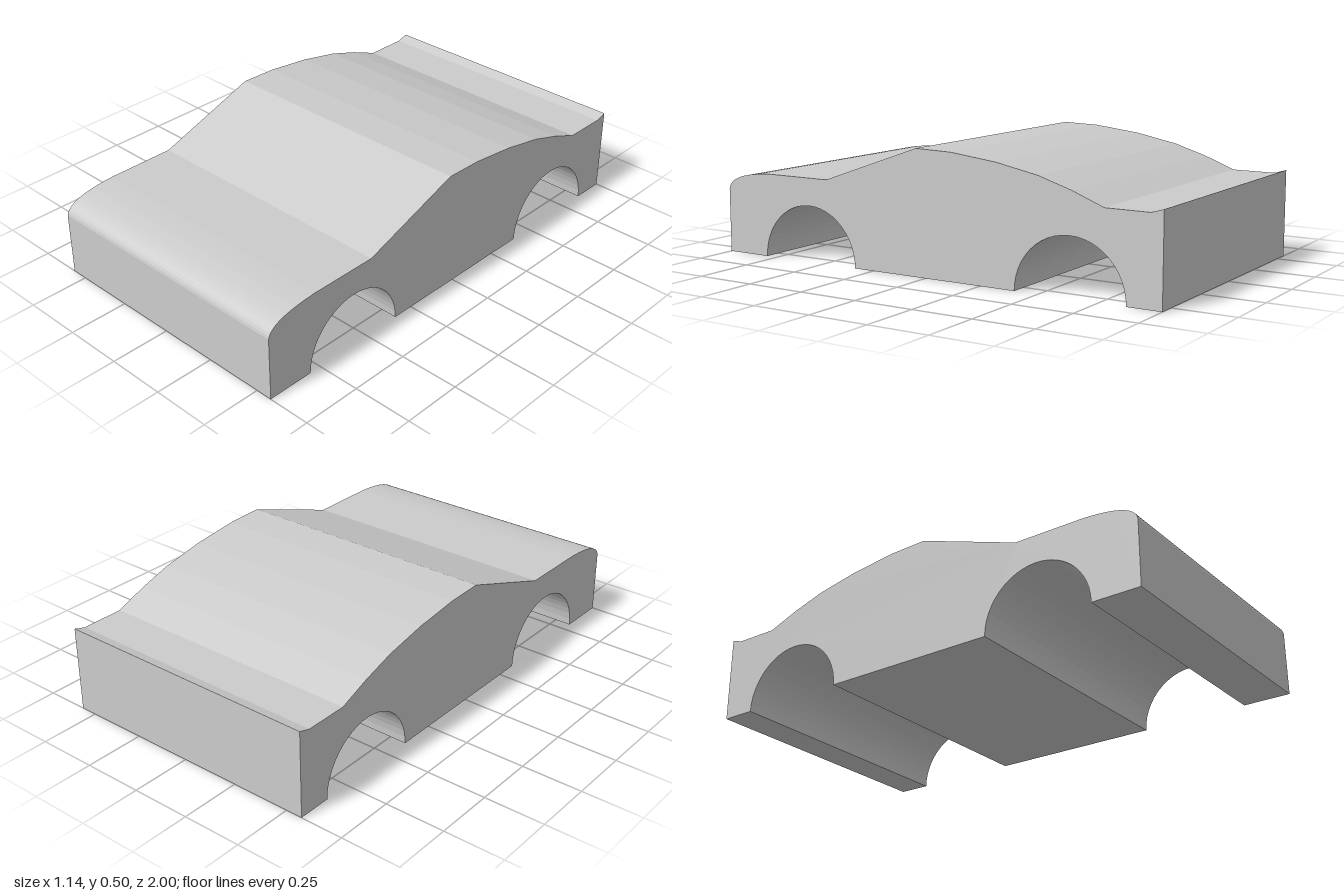
import * as THREE from 'three';

const WIDTH = 1.14;
const ARCH_RADIUS = 0.23;

// Side profile: shape x runs toward the nose, shape y is height
function bodyProfile() {
  const s = new THREE.Shape();
  s.moveTo(-1, 0);
  // underside with the two open wheel arches, tail to nose
  for (const z of [-0.63, 0.57]) {
    s.lineTo(z - ARCH_RADIUS, 0);
    s.absarc(z, 0, ARCH_RADIUS, Math.PI, 0, true);
  }
  s.lineTo(1, 0);
  // nose and rounded bonnet edge
  s.lineTo(1, 0.265);
  s.quadraticCurveTo(0.99, 0.335, 0.77, 0.343);
  // bonnet, windscreen, faceted fastback roof, tail lip
  const top = [
    [0.48, 0.343], [0.04, 0.498], [-0.12, 0.494], [-0.32, 0.471],
    [-0.5, 0.436], [-0.64, 0.393], [-0.77, 0.343], [-0.95, 0.343], [-1, 0.358],
  ];
  for (const [z, y] of top) s.lineTo(z, y);
  s.closePath();
  return s;
}

export function createModel() {
  const group = new THREE.Group();
  group.name = 'carBody';

  // Profile extruded across the full width, then turned to face +z
  const geometry = new THREE.ExtrudeGeometry(bodyProfile(), {
    depth: WIDTH, bevelEnabled: false, curveSegments: 12,
  });
  geometry.rotateY(-Math.PI / 2);
  geometry.translate(WIDTH / 2, 0, 0);

  const shell = new THREE.Mesh(
    geometry,
    new THREE.MeshStandardMaterial({ color: 0xcccccc, flatShading: true }),
  );
  shell.name = 'bodyShell';
  group.add(shell);
  return group;
}
